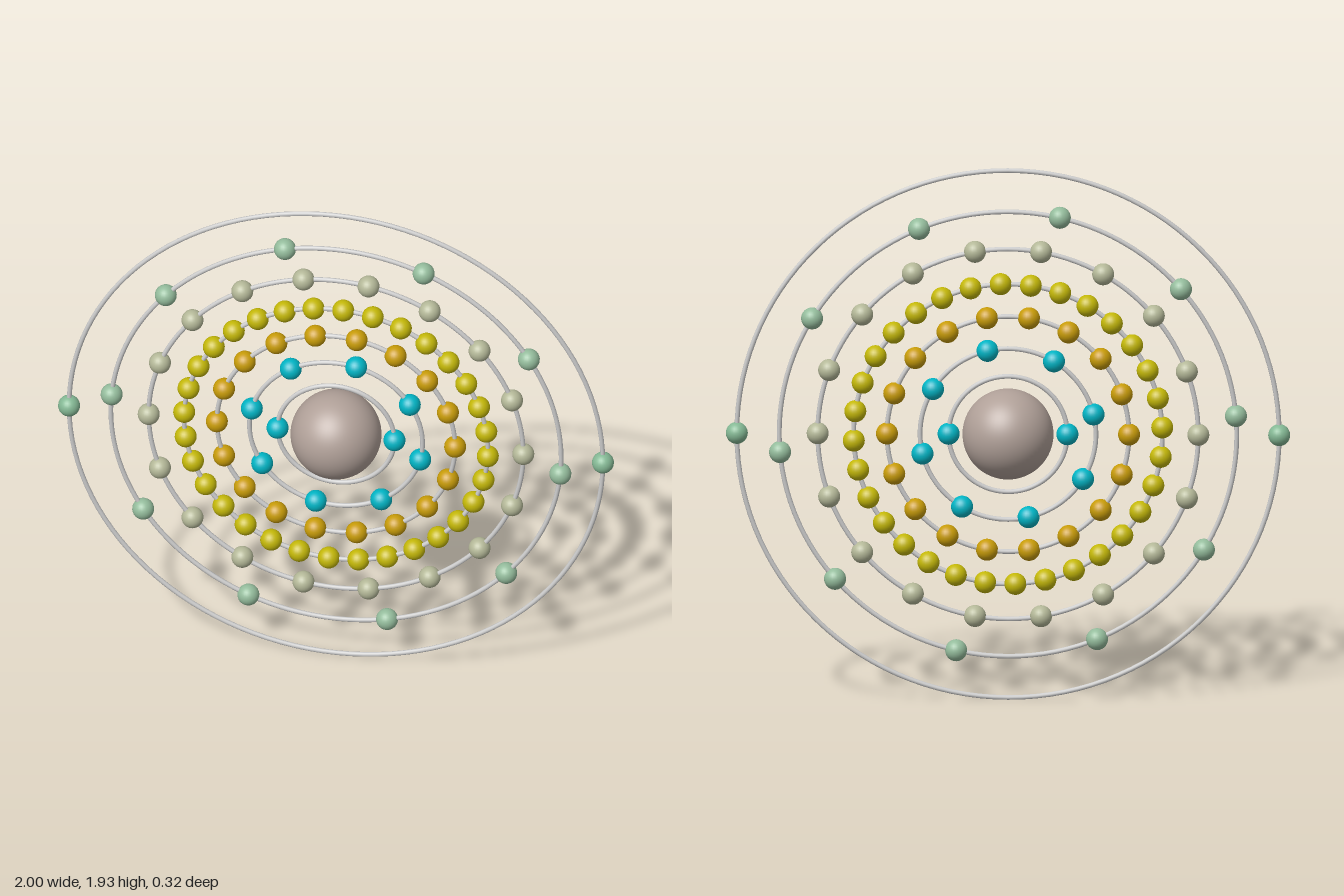
import * as THREE from 'three';

const CENTER_Y = 0.968;
const TUBE = 0.0085;
const BALL = 0.039;

// Concentric shells: ring radius, ball count, angle of first ball (degrees), ball colour
const SHELLS = [
  { radius: 0.21, count: 2, start: 0, color: 0x00b4c4 },
  { radius: 0.311, count: 8, start: 31.5, color: 0x00b4c4 },
  { radius: 0.428, count: 18, start: 0, color: 0xc89c08 },
  { radius: 0.546, count: 32, start: -2.75, color: 0xc4b808 },
  { radius: 0.673, count: 18, start: 0, color: 0xb4b898 },
  { radius: 0.809, count: 10, start: -4.9, color: 0x94bc9c },
  { radius: 0.959, count: 2, start: 0, color: 0x84b894 },
];

export function createModel() {
  const model = new THREE.Group();
  model.name = 'atomModel';

  const atom = new THREE.Group();
  atom.name = 'atom';
  atom.position.y = CENTER_Y;
  model.add(atom);

  // Central nucleus
  const nucleus = new THREE.Mesh(
    new THREE.SphereGeometry(0.161, 64, 40),
    new THREE.MeshStandardMaterial({ color: 0xb0a098 })
  );
  nucleus.name = 'nucleus';
  atom.add(nucleus);

  const ringMaterial = new THREE.MeshStandardMaterial({ color: 0xcccccc });
  const ballGeometry = new THREE.SphereGeometry(BALL, 24, 16);

  SHELLS.forEach(({ radius, count, start, color }, i) => {
    const shell = new THREE.Group();
    shell.name = `shell${i + 1}`;
    atom.add(shell);

    // Orbit ring, upright in the x-y plane
    const ring = new THREE.Mesh(new THREE.TorusGeometry(radius, TUBE, 10, 120), ringMaterial);
    ring.name = 'orbitRing';
    shell.add(ring);

    // Electrons evenly spaced around the ring
    const ballMaterial = new THREE.MeshStandardMaterial({ color });
    for (let k = 0; k < count; k++) {
      const angle = THREE.MathUtils.degToRad(start + (360 * k) / count);
      const electron = new THREE.Mesh(ballGeometry, ballMaterial);
      electron.name = 'electron';
      electron.position.set(radius * Math.cos(angle), radius * Math.sin(angle), 0);
      shell.add(electron);
    }
  });

  return model;
}
